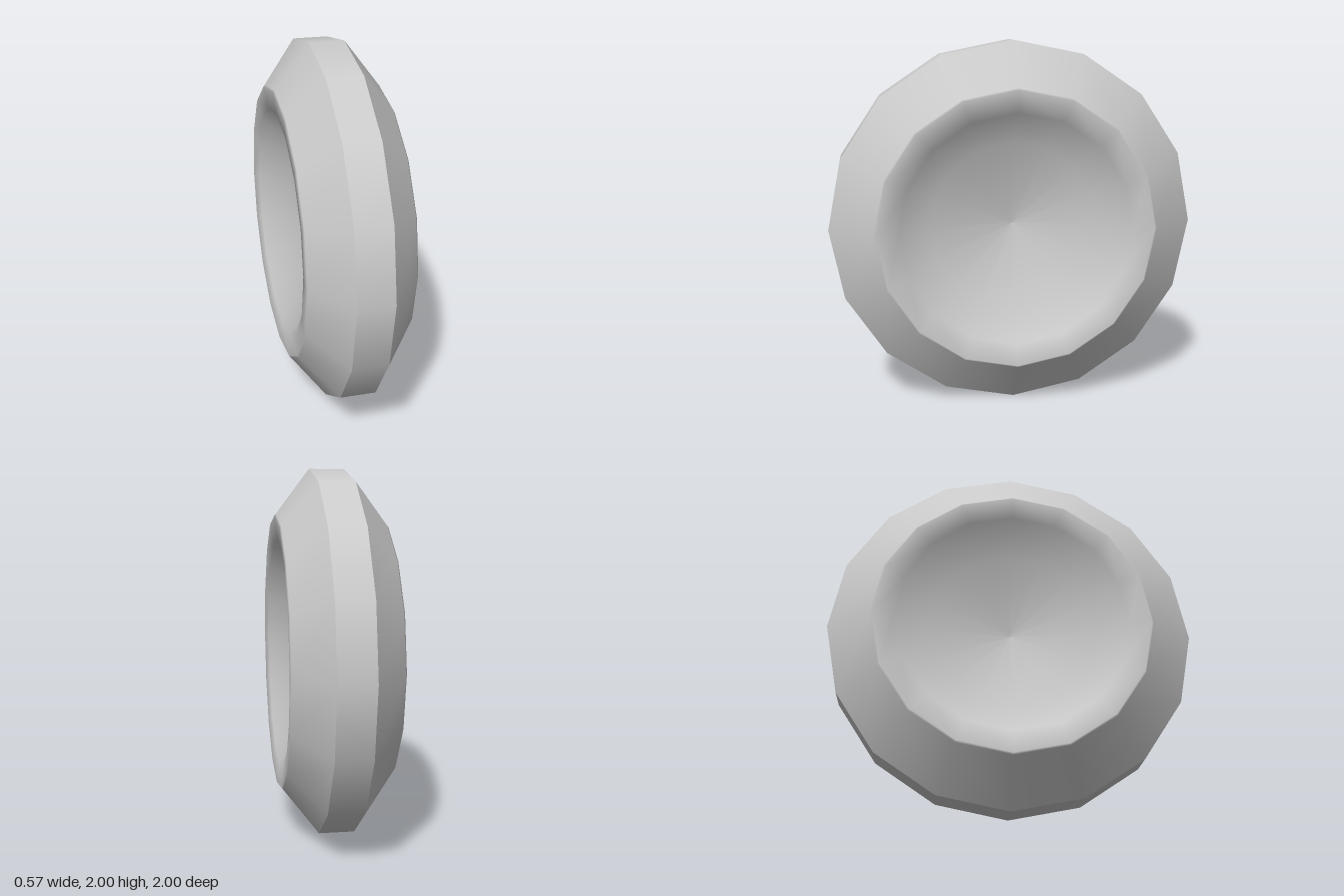
import * as THREE from 'three';

const SIDES = 16;
const RIM = 0.095; // half width of the tread

// Revolve a profile of [radius, x] pairs around the x axis.
function revolve(name, profile, material) {
  const points = profile.map(([r, x]) => new THREE.Vector2(r, x));
  const geometry = new THREE.LatheGeometry(points, SIDES);
  geometry.rotateZ(-Math.PI / 2);
  const mesh = new THREE.Mesh(geometry, material);
  mesh.name = name;
  return mesh;
}

export function createModel() {
  const model = new THREE.Group();
  model.name = 'wheel';
  const material = new THREE.MeshStandardMaterial({ color: 0xcccccc });

  // Flat outer tread
  const tread = revolve('tread', [[1, -RIM], [1, RIM]], material);

  // One side: sloped shoulder, narrow lip, conical wall, shallow dished floor
  const sideProfile = [
    [1, RIM], [0.76, 0.277], [0.75, 0.285],
    [0.63, 0.27], [0.46, 0.11], [0, 0.035],
  ];
  const leftSide = revolve('leftDish', sideProfile, material);
  const rightSide = revolve('rightDish', sideProfile, material);
  rightSide.rotation.y = Math.PI;

  model.add(tread, leftSide, rightSide);
  for (const part of model.children) part.position.y = 1;
  return model;
}
